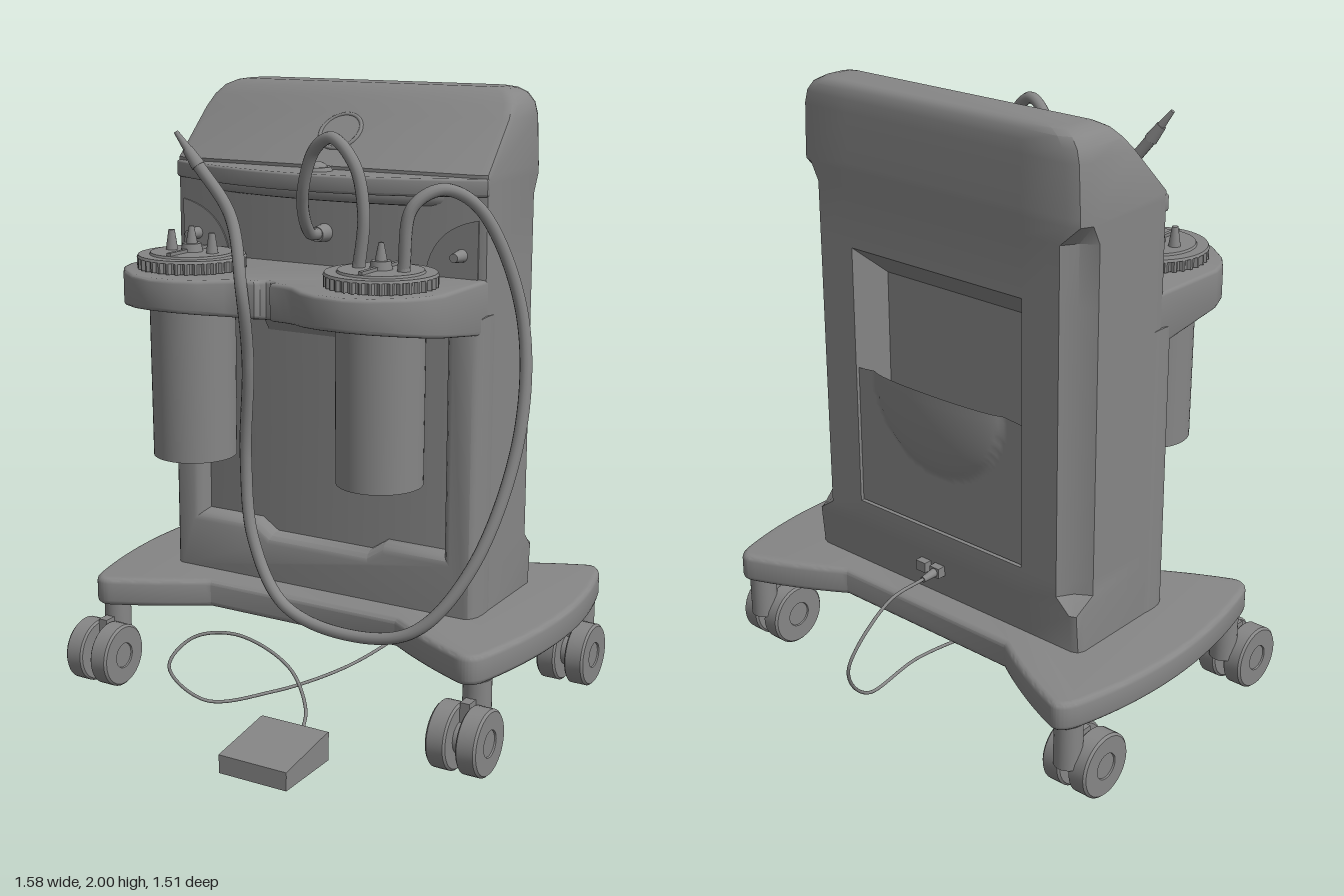
import * as THREE from 'three';
import { toCreasedNormals } from 'three/addons/utils/BufferGeometryUtils.js';

const grey = new THREE.MeshStandardMaterial({ color: 0x868686 });
const greyThin = new THREE.MeshStandardMaterial({ color: 0x868686, side: THREE.DoubleSide });
const V = (p) => new THREE.Vector3(...p);

function add(parent, name, geometry, pos = [0, 0, 0], material = grey) {
  const mesh = new THREE.Mesh(geometry, material);
  mesh.name = name;
  mesh.position.set(...pos);
  parent.add(mesh);
  return mesh;
}

// Horizontal slab from an outline in x and z, bevelled, with its top at yTop
function slab(shape, yTop, height, bevel = 0.012) {
  const g = new THREE.ExtrudeGeometry(shape, {
    depth: height - 2 * bevel, bevelEnabled: bevel > 0, bevelSize: bevel, bevelOffset: -bevel,
    bevelThickness: bevel, bevelSegments: 3, curveSegments: 20,
  });
  g.rotateX(Math.PI / 2);
  g.translate(0, yTop - bevel, 0);
  return toCreasedNormals(g, 0.6);
}

// Outline through points on the +x half (back to front), mirrored to -x
function mirroredShape(half) {
  const pts = [...half, ...half.slice().reverse().map(([x, z]) => [-x, z])];
  return new THREE.Shape(pts.map(([x, z]) => new THREE.Vector2(x, z)));
}

// Skin between closed rings of points; skip(i, j) leaves a quad open
function loft(rings, skip = () => false, crease = 0.6) {
  const out = [], n = rings[0].length;
  const tri = (a, b, c) => out.push(...a, ...b, ...c);
  for (let i = 0; i < rings.length - 1; i++) for (let j = 0; j < n; j++) {
    if (skip(i, j)) continue;
    const k = (j + 1) % n, a = rings[i], b = rings[i + 1];
    tri(a[j], b[j], b[k]);
    tri(a[j], b[k], a[k]);
  }
  const top = rings[rings.length - 1];
  for (let j = 1; j < n - 1; j++) tri(top[0], top[j + 1], top[j]);
  const g = new THREE.BufferGeometry();
  g.setAttribute('position', new THREE.Float32BufferAttribute(out, 3));
  return toCreasedNormals(g, crease);
}

function tube(parent, name, pts, r, segs = 120) {
  add(parent, name, new THREE.TubeGeometry(new THREE.CatmullRomCurve3(pts.map(V)), segs, r, 12));
}

// Tapered rod between two points
function rod(parent, name, a, b, ra, rb = ra) {
  const A = V(a), B = V(b), d = B.clone().sub(A);
  const m = add(parent, name, new THREE.CylinderGeometry(rb, ra, d.length(), 20), A.clone().lerp(B, 0.5).toArray());
  m.quaternion.setFromUnitVectors(new THREE.Vector3(0, 1, 0), d.normalize());
}

function addCabinet(root) {
  const cabinet = new THREE.Group();
  cabinet.name = 'cabinet';
  root.add(cabinet);
  // y, half width, front z, back z, back corner cut, depth of the cut (over 0.5 is a hollow groove)
  const levels = [
    [0.36, 0.57, 0.04, -0.35, 0.03, 0.3], [0.5, 0.57, 0.04, -0.362, 0.03, 0.3], [0.55, 0.57, 0.04, -0.365, 0.08, 0.62],
    [0.6, 0.57, 0.04, -0.365, 0.08, 0.62], [1.48, 0.57, 0.04, -0.365, 0.08, 0.62], [1.67, 0.57, 0.04, -0.365, 0.08, 0.62],
    [1.73, 0.57, 0.04, -0.37, 0.055, 0.3], [1.755, 0.57, 0.04, -0.37, 0.055, 0.3], [1.91, 0.563, -0.112, -0.37, 0.055, 0.3],
    [1.95, 0.553, -0.151, -0.368, 0.055, 0.3], [1.98, 0.53, -0.18, -0.362, 0.055, 0.3], [1.995, 0.5, -0.205, -0.35, 0.055, 0.3],
    [2.0, 0.47, -0.22, -0.335, 0.055, 0.3],
  ];
  const rings = levels.map(([y, w, f, b, c, m]) => {
    const half = [[w - 0.03, f], [w - 0.008, f - 0.009], [w, f - 0.03], [w, b + c], [w - c * m, b + c * m], [w - c, b], [0.35, b]];
    return [...half, ...half.slice().reverse().map(([x, z]) => [-x, z])].map(([x, z]) => [x, y, z]);
  });
  add(cabinet, 'cabinetShell', loft(rings, (i, j) => i === 3 && j === 6), [0, 0, 0], greyThin);

  // Storage recess in the back, with a bulging pocket front
  const rect = (x, y0, y1, z) => [[x, y0, z], [-x, y0, z], [-x, y1, z], [x, y1, z]];
  add(cabinet, 'backRecess', loft([rect(0.35, 0.6, 1.48, -0.365), rect(0.31, 0.62, 1.38, -0.25)], undefined, 0.2), [0, 0, 0], greyThin);
  const pocket = new THREE.PlaneGeometry(0.69, 0.47, 48, 36);
  pocket.translate(0, 0.84, 0);
  const p = pocket.attributes.position;
  for (let i = 0; i < p.count; i++) {
    const x = p.getX(i), y = p.getY(i), u = x / 0.27, v = (1.075 - y) / 0.27;
    p.setZ(i, -0.358 - 0.047 * Math.max(0, 1 - u * u - v * v) ** 0.7);
    if (y > 1.07) p.setY(i, y + 0.02 * (1 - (x / 0.35) ** 2));
  }
  pocket.computeVertexNormals();
  add(cabinet, 'backPocket', pocket, [0, 0, 0], greyThin);

  // Raised frame with sloping edges around the lower front panel, with a stepped sill
  const frame = new THREE.Shape([[-0.572, 0.33], [0.572, 0.33], [0.572, 1.33], [0.45, 1.33], [0.45, 0.57], [0.24, 0.57],
    [0.18, 0.53], [-0.18, 0.53], [-0.24, 0.57], [-0.45, 0.57], [-0.45, 1.33], [-0.572, 1.33]].map((q) => new THREE.Vector2(...q)));
  const frameGeo = new THREE.ExtrudeGeometry(frame, { depth: 0.03, bevelSize: 0.036, bevelOffset: -0.036, bevelThickness: 0.065, bevelSegments: 4 });
  add(cabinet, 'frontFrame', toCreasedNormals(frameGeo, 0.6));
  add(cabinet, 'trayBracket', new THREE.BoxGeometry(0.42, 0.08, 0.05), [0, 1.26, 0.045]).rotation.x = 0.6;

  // Bowed shelf below the sloping face, round knob and display ring
  const bow = (w, mid) => {
    const s = new THREE.Shape();
    s.moveTo(-w, -0.02);
    s.lineTo(-w, 0.04);
    s.quadraticCurveTo(0, mid, w, 0.04);
    s.lineTo(w, -0.02);
    return s;
  };
  add(cabinet, 'shelfLip', slab(bow(0.565, 0.34), 1.745, 0.055, 0.008));
  add(cabinet, 'shelfSupport', slab(bow(0.42, 0.16), 1.71, 0.06, 0.024));
  add(cabinet, 'knobCollar', new THREE.CylinderGeometry(0.045, 0.052, 0.014, 28), [0, 1.75, 0.088]);
  add(cabinet, 'knob', new THREE.SphereGeometry(0.037, 24, 12).scale(1, 0.65, 1), [0, 1.75, 0.09]);
  const ring = new THREE.Group();
  ring.name = 'faceRing';
  ring.position.set(0, 1.855, -0.06);
  ring.rotation.x = -Math.PI / 4;
  cabinet.add(ring);
  add(ring, 'ringRim', new THREE.TorusGeometry(0.07, 0.007, 10, 48));
  add(ring, 'ringDisc', new THREE.CylinderGeometry(0.066, 0.066, 0.006, 40).rotateX(Math.PI / 2));
}

function addCaster(root, x, z) {
  const caster = new THREE.Group();
  caster.name = 'caster';
  caster.position.set(x, 0, z);
  root.add(caster);
  for (const s of [-1, 1]) {
    const w = [[0, -0.033], [0.098, -0.033], [0.105, -0.027], [0.105, 0.027], [0.098, 0.034], [0.043, 0.034], [0.041, 0.029], [0, 0.029]];
    const g = new THREE.LatheGeometry(w.map((q) => new THREE.Vector2(...q)), 36);
    add(caster, 'wheel', toCreasedNormals(g.rotateZ(-s * Math.PI / 2), 0.5), [s * 0.05, 0.107, 0]);
  }
  add(caster, 'axle', new THREE.CylinderGeometry(0.05, 0.05, 0.06, 20).rotateZ(Math.PI / 2), [0, 0.107, 0]);
  add(caster, 'fork', new THREE.BoxGeometry(0.032, 0.1, 0.11), [0, 0.17, -0.05]);
  add(caster, 'stem', new THREE.CylinderGeometry(0.045, 0.045, 0.15, 24), [0, 0.2, -0.08]);
}

function addCanister(root, x) {
  const can = new THREE.Group();
  can.name = 'canister';
  can.position.set(x, 0, 0.285);
  root.add(can);
  add(can, 'jar', new THREE.CylinderGeometry(0.137, 0.134, 0.6, 48), [0, 1.135, 0]);
  // Ribbed lid with a smooth flange and a raised inner disc
  const gear = new THREE.Shape();
  for (let i = 0; i < 144; i++) {
    const a = (i / 144) * Math.PI * 2, r = i % 4 < 2 ? 0.172 : 0.163;
    gear[i ? 'lineTo' : 'moveTo'](r * Math.cos(a), r * Math.sin(a));
  }
  add(can, 'lidRibs', slab(gear, 1.478, 0.035, 0));
  add(can, 'lidFlange', new THREE.CylinderGeometry(0.169, 0.173, 0.008, 48), [0, 1.481, 0]);
  add(can, 'lidTop', new THREE.CylinderGeometry(0.13, 0.135, 0.01, 48), [0, 1.487, 0]);
  add(can, 'lidRib', new THREE.BoxGeometry(0.014, 0.02, 0.25), [0, 1.492, 0]);
  add(can, 'lidHub', new THREE.CylinderGeometry(0.03, 0.036, 0.03, 24), [0, 1.503, 0]);
  add(can, 'lidSpout', new THREE.CylinderGeometry(0.008, 0.02, 0.06, 16), [0, 1.542, 0]);
  for (const s of [-1, 1]) add(can, 'lidPort', new THREE.CylinderGeometry(0.01, 0.02, 0.065, 16), [s * 0.077, 1.522, 0]);
}

export function createModel() {
  const root = new THREE.Group();
  root.name = 'suctionCart';

  // Base with flared corners, on four twin-wheel casters
  const base = new THREE.Shape();
  base.moveTo(-0.35, -0.445);
  base.lineTo(0.35, -0.445);
  base.quadraticCurveTo(0.5, -0.54, 0.66, -0.6);
  base.quadraticCurveTo(0.71, -0.62, 0.735, -0.54);
  base.bezierCurveTo(0.81, -0.28, 0.81, 0, 0.73, 0.3);
  base.quadraticCurveTo(0.71, 0.385, 0.65, 0.365);
  base.quadraticCurveTo(0.5, 0.3, 0.35, 0.2);
  base.lineTo(-0.35, 0.2);
  base.quadraticCurveTo(-0.5, 0.3, -0.65, 0.365);
  base.quadraticCurveTo(-0.71, 0.385, -0.73, 0.3);
  base.bezierCurveTo(-0.81, 0, -0.81, -0.28, -0.735, -0.54);
  base.quadraticCurveTo(-0.71, -0.62, -0.66, -0.6);
  base.quadraticCurveTo(-0.5, -0.54, -0.35, -0.445);
  add(root, 'base', slab(base, 0.37, 0.095, 0.018));
  for (const s of [-1, 1]) for (const z of [0.36, -0.45]) addCaster(root, s * 0.68, z);

  addCabinet(root);

  // Two-lobed tray, deeper towards the cabinet
  const tray = slab(mirroredShape([[0.565, 0], [0.565, 0.31], [0.545, 0.37], [0.5, 0.43], [0.42, 0.495], [0.34, 0.52], [0.25, 0.515],
    [0.18, 0.485], [0.12, 0.435], [0.08, 0.415], [0.028, 0.408], [0.022, 0.385], [0.008, 0.373]]), 1.44, 0.1);
  const tp = tray.attributes.position;
  for (let i = 0; i < tp.count; i++) if (tp.getY(i) < 1.39) tp.setY(i, tp.getY(i) - 0.075 * (1 - tp.getZ(i) / 0.52));
  add(root, 'tray', toCreasedNormals(tray, 0.6));
  for (const s of [-1, 1]) {
    addCanister(root, s * 0.34);
    // Wall fitting with curved backing plate
    const plate = new THREE.Shape();
    plate.moveTo(s * 0.54, 1.44);
    plate.lineTo(s * 0.54, 1.62);
    plate.quadraticCurveTo(s * 0.38, 1.59, s * 0.36, 1.44);
    add(root, 'fittingPlate', new THREE.ExtrudeGeometry(plate, { depth: 0.01, bevelEnabled: false }), [0, 0, 0.035]);
    rod(root, 'wallFitting', [s * 0.485, 1.51, 0.03], [s * 0.485, 1.51, 0.1], 0.022, 0.014);
  }
  rod(root, 'hoseSocket', [0, 1.545, 0.03], [0, 1.545, 0.09], 0.03, 0.024);

  // Hoses
  tube(root, 'patientHose', [[-0.24, 1.79, 0.4], [-0.13, 1.63, 0.38], [-0.06, 1.42, 0.43], [-0.075, 1.18, 0.375], [-0.12, 0.86, 0.325],
    [-0.085, 0.6, 0.34], [0.04, 0.41, 0.36], [0.275, 0.355, 0.36], [0.49, 0.4, 0.34], [0.64, 0.6, 0.26], [0.727, 1.0, 0.125],
    [0.695, 1.37, 0.065], [0.59, 1.67, 0.14], [0.51, 1.73, 0.22], [0.44, 1.68, 0.28], [0.415, 1.49, 0.285]], 0.019, 240);
  rod(root, 'hoseGrip', [-0.23, 1.775, 0.398], [-0.265, 1.825, 0.405], 0.022, 0.016);
  rod(root, 'hoseTip', [-0.26, 1.82, 0.404], [-0.3, 1.875, 0.413], 0.014, 0.007);
  tube(root, 'vacuumHose', [[0, 1.545, 0.07], [0.01, 1.56, 0.15], [0.035, 1.68, 0.23], [0.1, 1.83, 0.265], [0.17, 1.868, 0.28],
    [0.25, 1.79, 0.285], [0.28, 1.65, 0.285], [0.265, 1.49, 0.285]], 0.019);

  // Foot pedal: wedge-shaped base and tread
  const pedal = new THREE.Group();
  pedal.name = 'footPedal';
  root.add(pedal);
  const wedge = (name, pts, x0, width) => {
    const g = new THREE.ExtrudeGeometry(new THREE.Shape(pts.map((q) => new THREE.Vector2(...q))), { depth: width, bevelEnabled: false });
    add(pedal, name, g.rotateY(-Math.PI / 2), [x0 + width, 0, 0]);
  };
  wedge('pedalBase', [[0.512, 0.003], [0.755, 0.003], [0.755, 0.045], [0.512, 0.08]], 0.056, 0.238);
  wedge('pedalTread', [[0.51, 0.078], [0.756, 0.043], [0.756, 0.063], [0.52, 0.097], [0.51, 0.095]], 0.055, 0.24);
  rod(pedal, 'pedalPlug', [0.178, 0.05, 0.47], [0.178, 0.05, 0.515], 0.008, 0.012);

  // Pedal cable from the socket at the back, under the base
  for (const x of [0, 0.06]) add(root, 'cableSocket', new THREE.BoxGeometry(0.04, 0.035, 0.04), [x, 0.465, -0.368]);
  rod(root, 'cablePlug', [0, 0.465, -0.38], [0, 0.46, -0.44], 0.015, 0.01);
  tube(root, 'pedalCable', [[0, 0.462, -0.43], [0, 0.445, -0.6], [0.025, 0.27, -0.753], [0.08, 0.09, -0.62], [0.1, 0.095, -0.36],
    [0.05, 0.07, 0], [-0.08, 0.045, 0.24], [-0.23, 0.05, 0.42], [-0.32, 0.17, 0.485], [-0.28, 0.25, 0.41], [-0.15, 0.268, 0.35],
    [0.06, 0.2, 0.36], [0.15, 0.1, 0.41], [0.178, 0.05, 0.48]], 0.0055, 200);
  return root;
}
